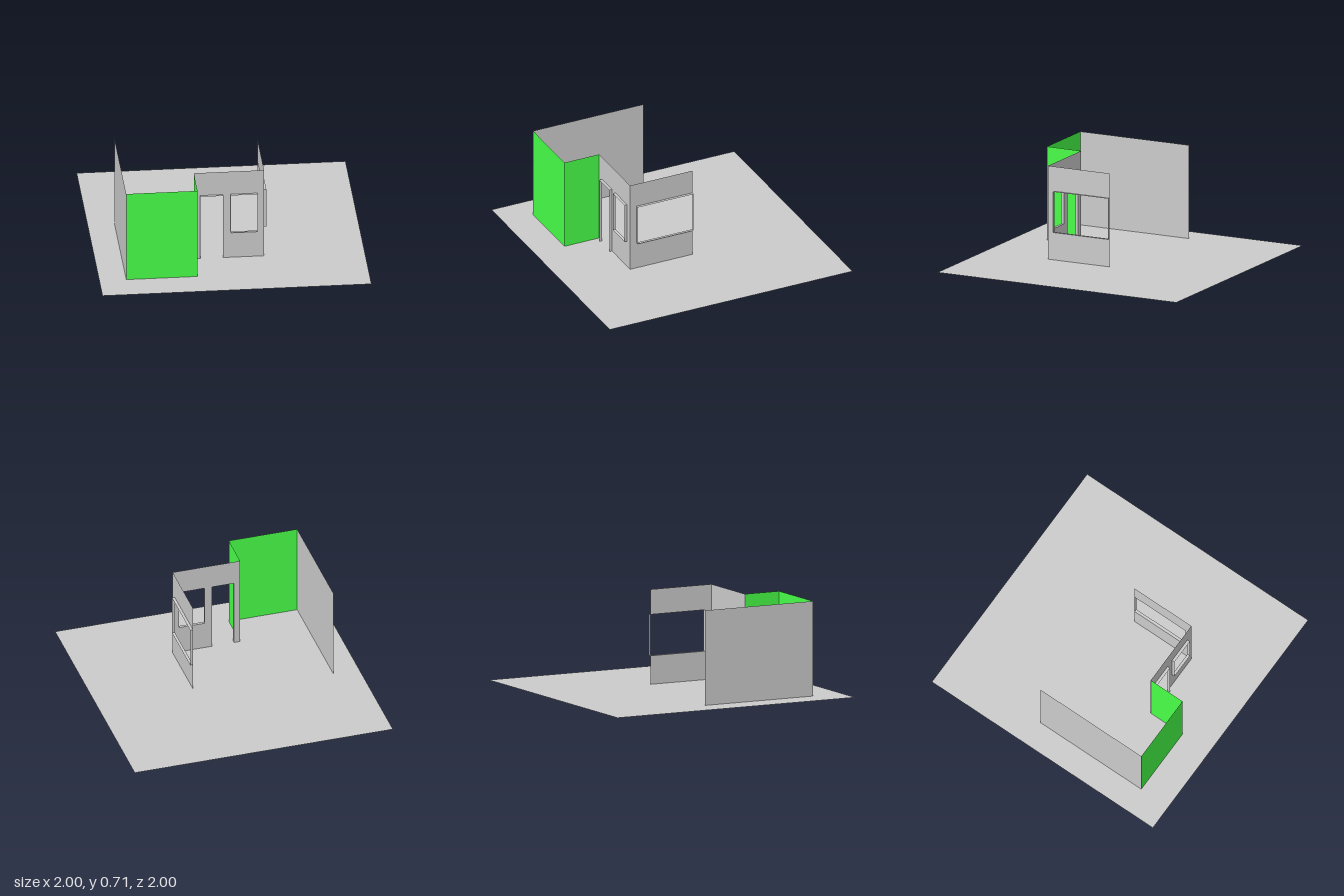
import * as THREE from 'three';

const HEIGHT = 0.712, SILL = 0.214, HEAD = 0.524, REVEAL = 0.022;
const grey = new THREE.MeshStandardMaterial({ color: 0xcccccc, side: THREE.DoubleSide });
const green = new THREE.MeshStandardMaterial({ color: 0x48ff48, side: THREE.DoubleSide });

const points = (list) => list.map(([x, y]) => new THREE.Vector2(x, y));
const rect = (x0, x1, y0, y1) => [[x0, y0], [x1, y0], [x1, y1], [x0, y1]];

// Paper-thin wall in its own x-y plane
function wall(name, outline, material = grey, holes = []) {
  const shape = new THREE.Shape(points(outline));
  for (const hole of holes) shape.holes.push(new THREE.Path(points(hole)));
  const mesh = new THREE.Mesh(new THREE.ShapeGeometry(shape), material);
  mesh.name = name;
  return mesh;
}

// Thin lining that follows the edge of an opening and stands proud of the wall
function lining(name, path) {
  const group = new THREE.Group();
  group.name = name;
  for (let i = 0; i < path.length - 1; i++) {
    const [a, b] = points([path[i], path[i + 1]]);
    const strip = new THREE.Mesh(new THREE.PlaneGeometry(a.distanceTo(b), REVEAL), grey);
    strip.geometry.rotateX(Math.PI / 2);
    strip.rotation.z = Math.atan2(b.y - a.y, b.x - a.x);
    strip.position.set((a.x + b.x) / 2, (a.y + b.y) / 2, REVEAL / 2);
    strip.name = name + 'Strip';
    group.add(strip);
  }
  return group;
}

// A façade plane: 'front' faces +z, 'side' faces +x (local x runs along -z)
function facade(name, offset, isSide, ...parts) {
  const group = new THREE.Group();
  group.name = name;
  if (isSide) {
    group.rotation.y = Math.PI / 2;
    group.position.x = offset;
  } else group.position.z = offset;
  group.add(...parts);
  return group;
}

export function createModel() {
  const model = new THREE.Group();
  model.name = 'buildingCorner';

  // Ground sheet
  const ground = new THREE.Mesh(new THREE.PlaneGeometry(2, 2).rotateX(-Math.PI / 2), grey);
  ground.name = 'ground';
  model.add(ground);

  // Projecting bay
  model.add(
    facade('bayFront', 0.755, false, wall('bayFrontWall', rect(-0.8, -0.27, 0, HEIGHT), green)),
    facade('bayReturn', -0.27, true, wall('bayReturnWall', rect(-0.755, -0.47, 0, HEIGHT), green)),
    facade('farSide', -0.8, true, wall('farSideWall', rect(-0.755, 0.155, 0, HEIGHT)))
  );

  // Recessed front with doorway and window
  const windowEdge = rect(0.005, 0.203, SILL, HEAD);
  const doorEdge = [[-0.222, 0], [-0.222, HEAD], [-0.053, HEAD], [-0.053, 0]];
  model.add(facade('entranceFront', 0.468, false,
    wall('entranceWall', [[-0.27, 0], ...doorEdge, [0.253, 0], [0.253, HEIGHT], [-0.27, HEIGHT]], grey, [windowEdge]),
    lining('doorFrame', doorEdge),
    lining('frontWindowFrame', [...windowEdge, windowEdge[0]])
  ));

  // Side wall whose wide window runs to its rear edge
  const sideEdge = rect(-0.415, 0.045, SILL, HEAD);
  model.add(facade('windowSide', 0.253, true,
    wall('windowSideWall', [[-0.468, 0], [0.045, 0], [0.045, SILL], [-0.415, SILL],
      [-0.415, HEAD], [0.045, HEAD], [0.045, HEIGHT], [-0.468, HEIGHT]]),
    lining('sideWindowFrame', [...sideEdge, sideEdge[0]])
  ));

  return model;
}
